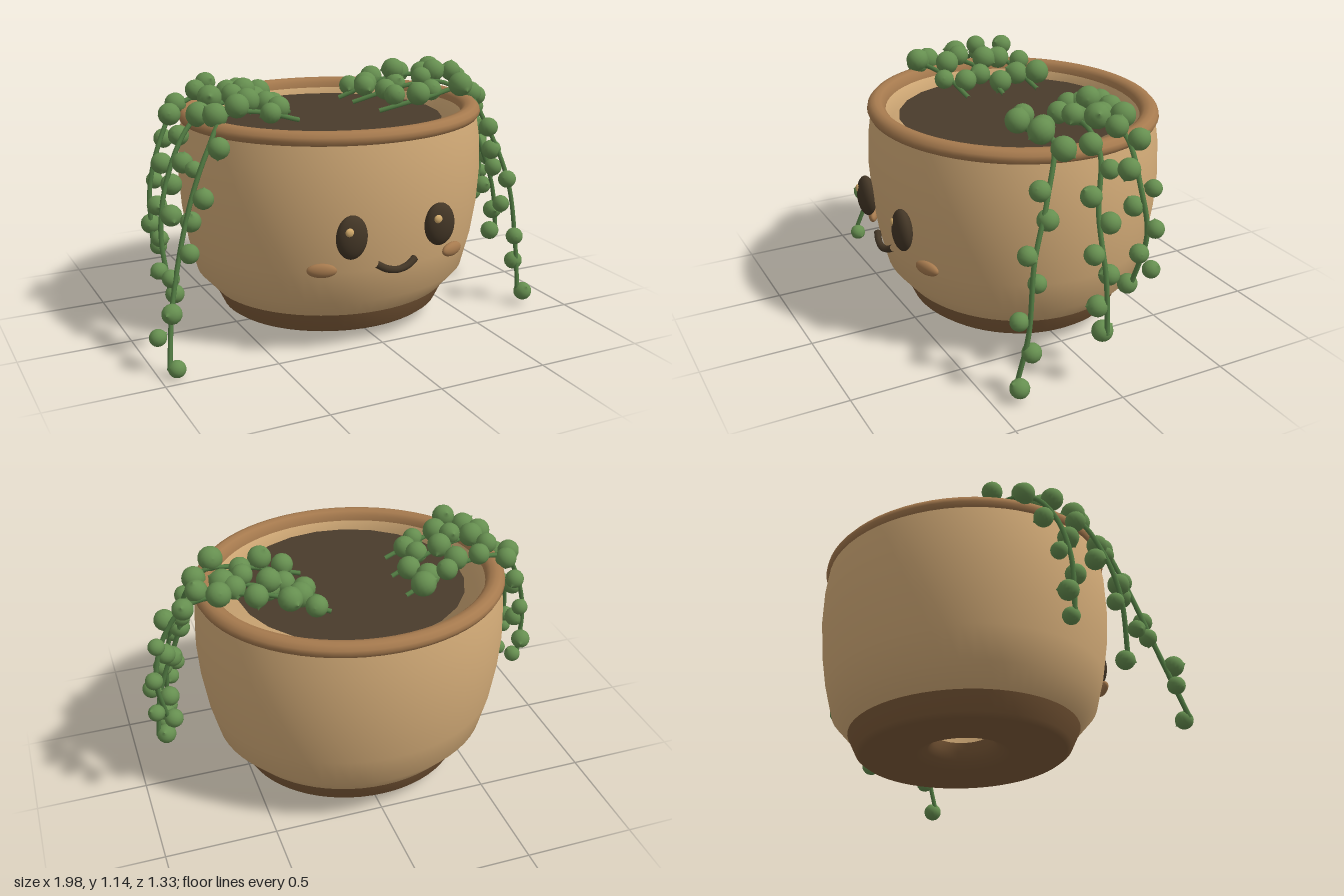
import * as THREE from 'three';

const mat = (name, color) => {
  const m = new THREE.MeshStandardMaterial({ color });
  m.name = name;
  return m;
};

export function createModel() {
  const clay = mat('clay', 0xd4ac78);
  const rimClay = mat('rim clay', 0xa67a4e);
  const baseClay = mat('base clay', 0x7e5b39);
  const soilMat = mat('soil', 0x4a3c2c);
  const dark = mat('dark face', 0x433626);
  const shine = mat('eye shine', 0xd4ac6c);
  const leaf = mat('leaf green', 0x668f50);
  const vine = mat('stem green', 0x527c43);

  const model = new THREE.Group();
  model.name = 'plantPot';
  const add = (parent, name, geo, material, x = 0, y = 0, z = 0) => {
    const m = new THREE.Mesh(geo, material);
    m.name = name;
    m.position.set(x, y, z);
    parent.add(m);
    return m;
  };
  const spline = pts => new THREE.CatmullRomCurve3(pts.map(p => new THREE.Vector3(...p)));

  // Pot: lathe sections, slightly narrower front to back
  const pot = new THREE.Group();
  pot.name = 'pot';
  pot.position.set(-0.01, 0, -0.015);
  pot.scale.z = 0.918;
  model.add(pot);
  const lathe = (name, pts, material) => add(pot, name,
    new THREE.LatheGeometry(pts.map(p => new THREE.Vector2(...p)), 64), material);
  lathe('underside', [[0.135, 0.17], [0.145, 0.13], [0.17, 0.095], [0.22, 0.068], [0.3, 0.056], [0.44, 0.055]], baseClay);
  lathe('baseBand', [[0.44, 0.055], [0.49, 0.06], [0.515, 0.078], [0.555, 0.16]], baseClay);
  lathe('body', [[0.555, 0.16], [0.637, 0.25], [0.675, 0.4], [0.698, 0.55], [0.708, 0.7], [0.702, 0.85], [0.685, 0.955]], clay);
  lathe('rim', [[0.675, 0.943], [0.692, 0.95], [0.702, 0.968], [0.698, 0.985], [0.682, 1.002],
    [0.66, 1.007], [0.635, 1.002], [0.617, 0.985], [0.612, 0.955]], rimClay);
  lathe('innerWall', [[0.615, 0.965], [0.585, 0.9], [0.575, 0.7], [0.54, 0.3], [0.46, 0.18], [0.135, 0.17]], clay);

  // Soil disc
  const soil = add(model, 'soil', new THREE.CircleGeometry(0.515, 24), soilMat, -0.01, 0.94, -0.018);
  soil.rotation.x = -Math.PI / 2;

  // Face
  const ball = new THREE.SphereGeometry(1, 28, 18);
  for (const s of [-1, 1]) {
    const cx = -0.01 + s * 0.21;
    add(model, 'eye', ball, dark, cx, 0.57, 0.625).scale.set(0.071, 0.095, 0.04);
    add(model, 'eyeShine', ball, shine, cx - 0.025, 0.603, 0.655).scale.set(0.019, 0.019, 0.012);
    const cheek = add(model, 'cheek', ball, rimClay, -0.01 + s * 0.317, 0.42, 0.56);
    cheek.scale.set(0.064, 0.031, 0.022);
    cheek.rotation.y = s * 0.4;
  }
  const smile = spline([[-0.103, 0.435, 0.625], [-0.06, 0.412, 0.637], [-0.01, 0.403, 0.642],
    [0.04, 0.412, 0.637], [0.083, 0.435, 0.625]]);
  add(model, 'mouth', new THREE.TubeGeometry(smile, 24, 0.016, 8), dark);

  // Round bead leaf with a small pointed tip
  const profile = [];
  for (let i = 0; i <= 9; i++) {
    const a = -Math.PI / 2 + (i / 9) * Math.PI * 0.88;
    profile.push(new THREE.Vector2(Math.max(0, Math.cos(a)), Math.sin(a)));
  }
  profile.push(new THREE.Vector2(0.12, 1.04), new THREE.Vector2(0, 1.18));
  const beadGeo = new THREE.LatheGeometry(profile, 16);

  let seed = 7;
  const rand = () => (seed = (seed * 16807) % 2147483647) / 2147483647;

  // Trailing strand: beads alternate sides of the stem, resting above it on the pot
  const strand = (name, count, path) => {
    const group = new THREE.Group();
    group.name = name;
    model.add(group);
    const curve = spline(path);
    add(group, 'stem', new THREE.TubeGeometry(curve, 48, 0.011, 7), vine);
    for (let i = 0; i < count; i++) {
      const u = i / (count - 1);
      const p = curve.getPointAt(0.06 + 0.94 * u ** 1.15);
      const side = i % 2 ? 1 : -1;
      const resting = p.y > 0.95;
      const out = i === count - 1 ? 0 : 0.025 + 0.02 * rand();
      p.x += resting ? 0 : (rand() - 0.5) * 0.08;
      p.y += resting ? 0.005 + 0.045 * rand() : 0;
      p.z += side * out;
      const bead = add(group, 'beadLeaf', beadGeo, leaf, p.x, p.y, p.z);
      bead.scale.setScalar((resting ? 0.046 : 0.036) + 0.011 * rand());
      bead.rotation.set(rand() * 6.28, rand() * 6.28, rand() * 6.28);
    }
  };
  strand('leftFrontStrand', 12, [[0.19, 0.96, 0.09], [0.42, 1.01, 0.13], [0.62, 1.03, 0.13],
    [0.72, 0.84, 0.21], [0.78, 0.6, 0.3], [0.81, 0.3, 0.34], [0.8, 0.07, 0.39]]);
  strand('leftMiddleStrand', 13, [[0.17, 0.96, -0.14], [0.42, 1.03, -0.08], [0.6, 1.04, -0.05],
    [0.72, 0.97, -0.03], [0.79, 0.76, 0.015], [0.88, 0.5, 0.025], [0.91, 0.265, 0.03]]);
  strand('leftBackStrand', 16, [[0.16, 0.96, -0.27], [0.4, 1.05, -0.21], [0.62, 1.06, -0.16],
    [0.76, 1.02, -0.14], [0.86, 0.88, -0.13], [0.91, 0.68, -0.14], [0.87, 0.44, -0.1]]);
  strand('rightFrontStrand', 14, [[-0.22, 0.96, 0.1], [-0.42, 1.02, 0.13], [-0.6, 1.03, 0.19],
    [-0.7, 0.91, 0.25], [-0.8, 0.68, 0.28], [-0.91, 0.3, 0.35], [-0.96, 0.045, 0.435]]);
  strand('rightMiddleStrand', 13, [[-0.19, 0.96, -0.07], [-0.4, 1.04, -0.04], [-0.6, 1.04, 0.03],
    [-0.73, 0.97, 0.08], [-0.84, 0.77, 0.12], [-0.89, 0.55, 0.16], [-0.87, 0.28, 0.2]]);
  strand('rightBackStrand', 14, [[-0.19, 0.96, -0.25], [-0.42, 1.04, -0.21], [-0.6, 1.05, -0.18],
    [-0.72, 1, -0.14], [-0.8, 0.88, -0.1], [-0.86, 0.68, -0.08], [-0.86, 0.41, -0.07]]);
  return model;
}
